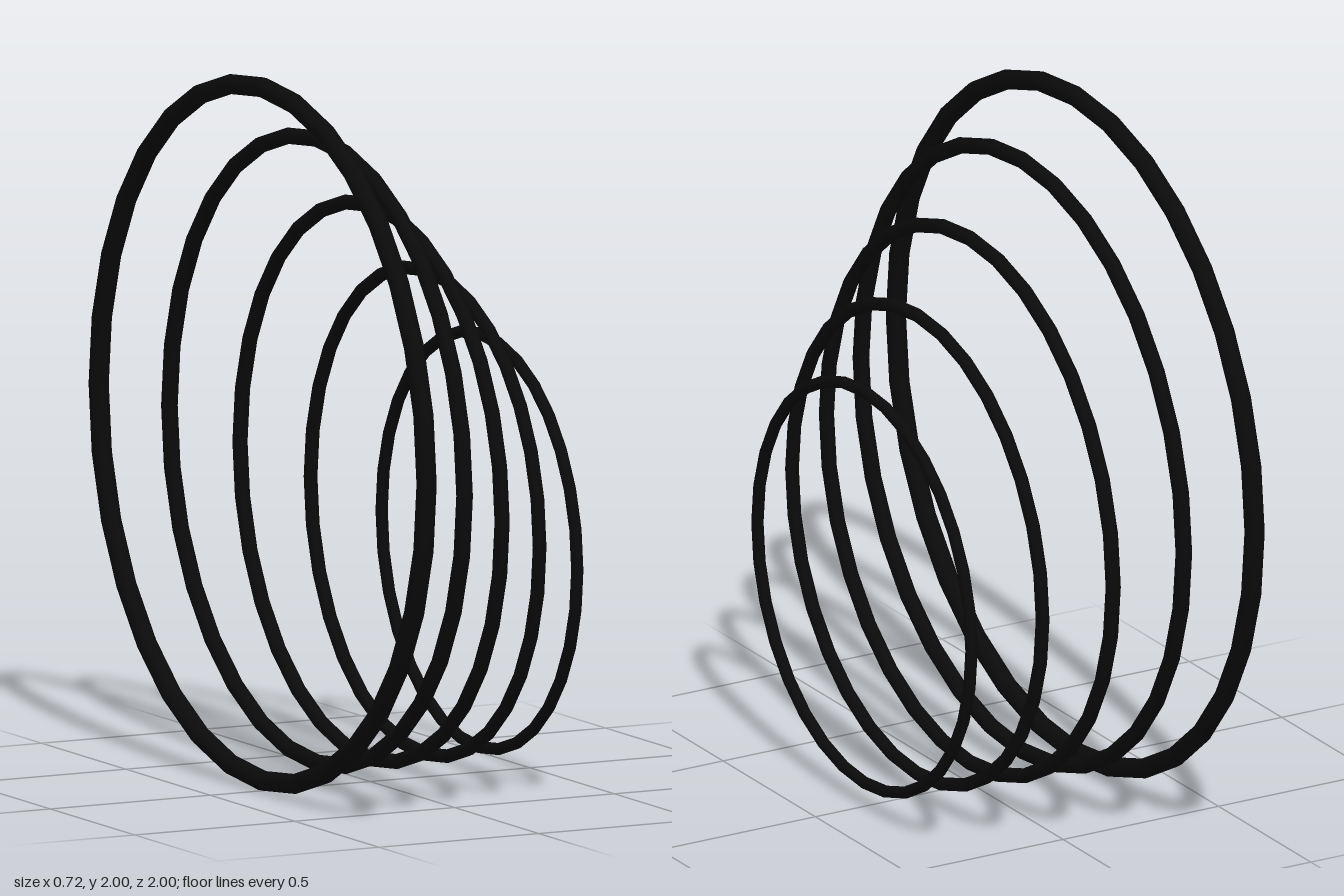
import * as THREE from 'three';

// Each ring: x position, height of centre, ring radius, tube radius
const RINGS = [
  [-0.336, 1.0, 0.972, 0.028],
  [-0.166, 0.94, 0.875, 0.023],
  [0.003, 0.84, 0.777, 0.021],
  [0.172, 0.743, 0.679, 0.019],
  [0.342, 0.65, 0.58, 0.017],
];

export function createModel() {
  const model = new THREE.Group();
  model.name = 'nestedRings';
  const black = new THREE.MeshStandardMaterial({ color: 0x0a0a0a });

  // Upright hoops facing sideways, shrinking towards +x
  RINGS.forEach(([x, y, radius, tube], i) => {
    const ring = new THREE.Mesh(new THREE.TorusGeometry(radius, tube, 12, 32), black);
    ring.name = `ring${i + 1}`;
    ring.rotation.y = Math.PI / 2;
    ring.position.set(x, y, 0);
    model.add(ring);
  });

  return model;
}
